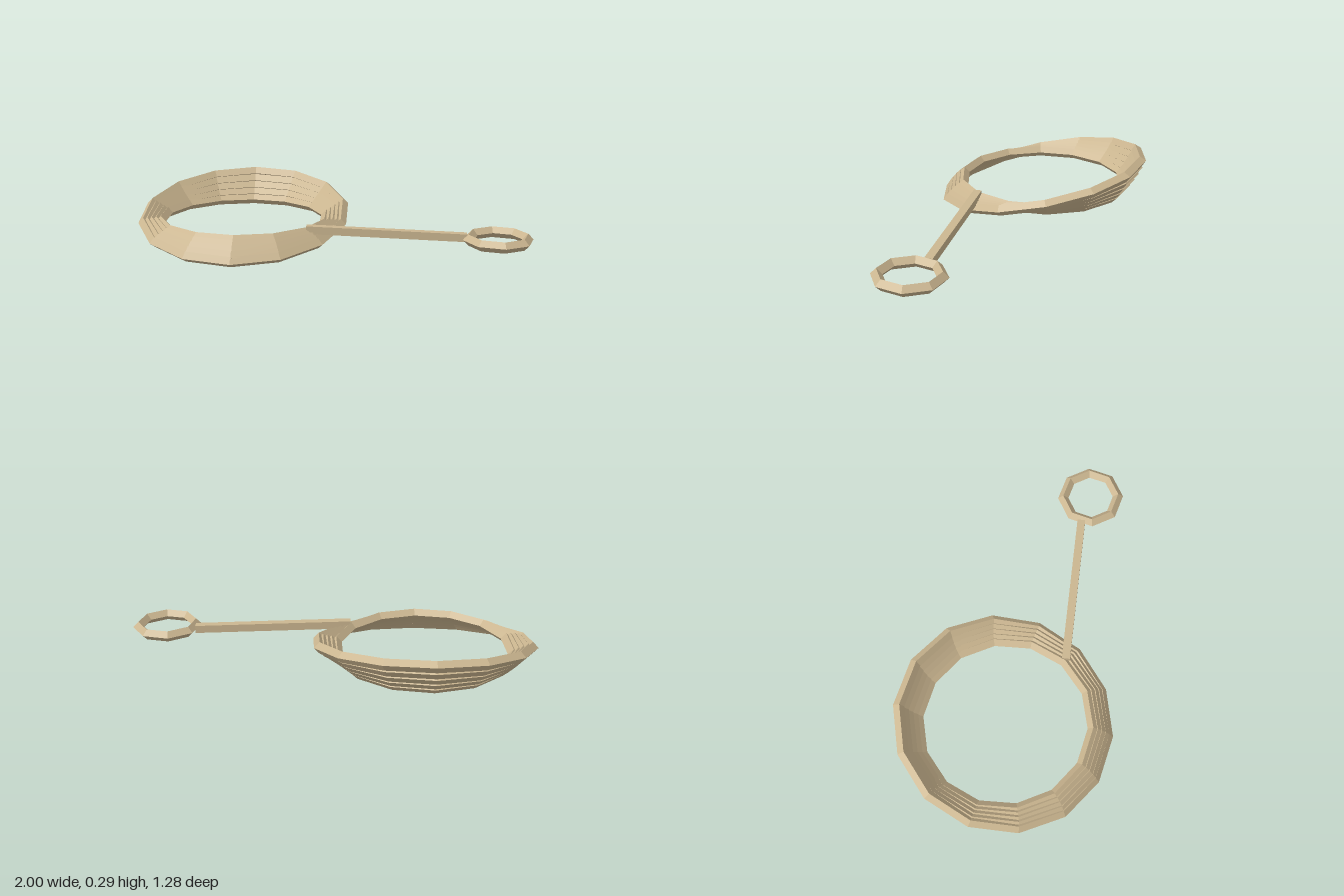
import * as THREE from 'three';

const TUBE = 0.0285;

export function createModel() {
  const group = new THREE.Group();
  const tan = new THREE.MeshStandardMaterial({ color: 0xcbb690, flatShading: true });
  tan.name = 'tan';

  // Faceted ring with a diamond cross-section, lying flat
  function ring(name, radius, sides, x, y, z) {
    const geometry = new THREE.TorusGeometry(radius, TUBE, 4, sides);
    geometry.rotateX(Math.PI / 2);
    const mesh = new THREE.Mesh(geometry, tan);
    mesh.name = name;
    mesh.position.set(x, y, z);
    group.add(mesh);
    return mesh;
  }

  // Five nested hoops, each wider and more tilted than the one inside it
  const hoops = 5;
  for (let i = 0; i < hoops; i++) {
    const t = i / (hoops - 1);
    const hoop = ring(`hoop${i + 1}`, 0.449 + 0.092 * t, 14, -0.434, 0.117 + 0.028 * t, 0.088);
    hoop.rotation.set(0.18 * t, 0, -0.124 * t, 'ZYX');
  }

  // Small flat ring at the end of the rod
  ring('gripRing', 0.151, 8, 0.82, 0.117, -0.463);

  // Straight rod joining the hoops to the grip ring
  const start = new THREE.Vector3(0.02, 0.137, 0.088);
  const end = new THREE.Vector3(0.675, 0.115, -0.4);
  const rod = new THREE.Mesh(new THREE.BoxGeometry(0.042, 0.04, start.distanceTo(end)), tan);
  rod.name = 'rod';
  rod.position.copy(start).add(end).multiplyScalar(0.5);
  rod.lookAt(end);
  group.add(rod);

  return group;
}
